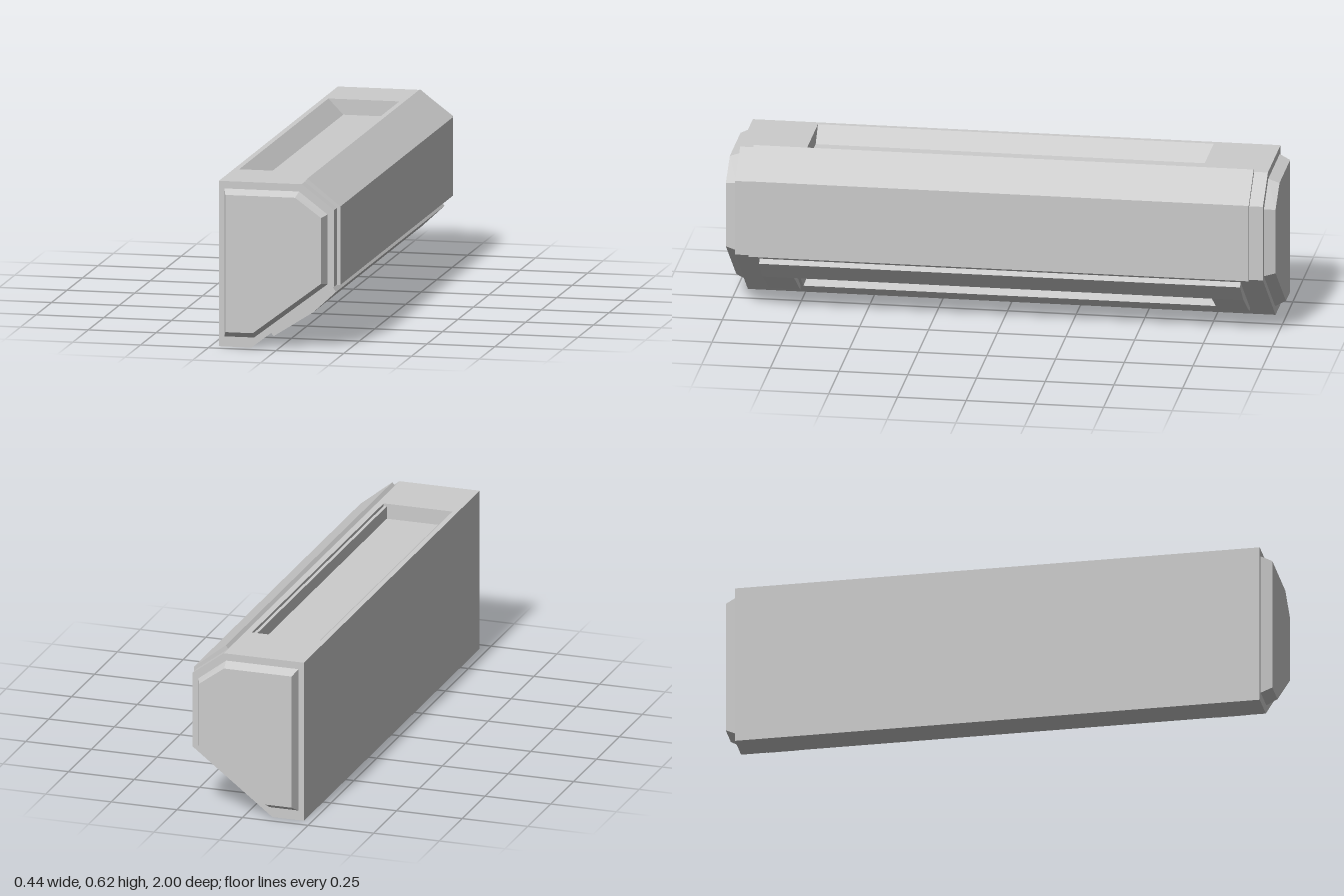
import * as THREE from 'three';

// Solid between two cross-sections (counter-clockwise in x,y) at depths zA < zB
function loft(ringA, zA, ringB, zB) {
  const pos = [];
  const put = (p, z) => pos.push(p[0], p[1], z);
  const n = ringA.length;
  for (let i = 0; i < n; i++) {
    const j = (i + 1) % n;
    put(ringA[i], zA); put(ringA[j], zA); put(ringB[j], zB);
    put(ringA[i], zA); put(ringB[j], zB); put(ringB[i], zB);
  }
  // the larger section gives the cap triangles for both ends
  const area = (r) => Math.abs(THREE.ShapeUtils.area(r.map((p) => new THREE.Vector2(...p))));
  const big = area(ringA) >= area(ringB) ? ringA : ringB;
  const tris = THREE.ShapeUtils.triangulateShape(big.map((p) => new THREE.Vector2(...p)), []);
  for (const [a, b, c] of tris) {
    put(ringA[c], zA); put(ringA[b], zA); put(ringA[a], zA);
    put(ringB[a], zB); put(ringB[b], zB); put(ringB[c], zB);
  }
  const g = new THREE.BufferGeometry();
  g.setAttribute('position', new THREE.Float32BufferAttribute(pos, 3));
  g.computeVertexNormals();
  return g;
}

export function createModel() {
  const model = new THREE.Group();
  const casing = new THREE.MeshStandardMaterial({ color: 0xcccccc });
  casing.name = 'casing grey';

  const add = (name, ringA, zA, ringB, zB) => {
    const mesh = new THREE.Mesh(loft(ringA, zA, ringB, zB), casing);
    mesh.name = name;
    model.add(mesh);
  };
  const prism = (name, ring, z0, z1) => add(name, ring, z0, ring, z1);

  // Casing cross-section with an intake notch on top and an outlet notch in the slope
  const outlet = [[-0.047, 0.041], [-0.1, 0.13], [0.05, 0.2], [0.09, 0.146]];
  const intake = [[0.062, 0.605], [0.062, 0.595], [0.05, 0.595], [0.05, 0.548], [-0.145, 0.548], [-0.2, 0.605]];
  const section = (low, high) => [
    [-0.22, 0], [-0.1, 0], ...low, [0.205, 0.235], [0.205, 0.515], [0.085, 0.605], ...high, [-0.22, 0.605],
  ];
  prism('casingMiddle', section(outlet, intake), -0.72, 0.72);
  for (const s of [-1, 1]) {
    const span = (a, b) => (s > 0 ? [a, b] : [-b, -a]);
    prism('casingShoulder', section(outlet, []), ...span(0.72, 0.75));
    prism('casingEnd', section([], []), ...span(0.75, 0.96));
  }

  // Slanted end walls of the outlet
  const ccw = [...outlet].reverse();
  const deep = [outlet[2], outlet[2], outlet[1], outlet[1]];
  add('outletEndWall', deep, 0.715, ccw, 0.75);
  add('outletEndWall', ccw, -0.75, deep, -0.715);

  // Bevelled end caps
  const capBase = [[-0.2, 0.037], [-0.09, 0.037], [0.181, 0.243], [0.181, 0.498], [0.076, 0.578], [-0.2, 0.578]];
  const capFace = [[-0.187, 0.06], [-0.086, 0.06], [0.166, 0.251], [0.166, 0.492], [0.07, 0.562], [-0.187, 0.562]];
  add('endCap', capBase, 0.96, capFace, 1);
  add('endCap', capFace, -1, capBase, -0.96);

  // Folded front panel
  prism('frontPanel', [
    [0.205, 0.233], [0.217, 0.233], [0.217, 0.52], [0.095, 0.617], [0.086, 0.605], [0.205, 0.514],
  ], -0.91, 0.91);

  // Outlet flap: full depth at both ends, upper strip only across the opening
  const flap = [[-0.047, 0.041], [-0.037, 0.029], [0.11, 0.123], [0.193, 0.2], [0.182, 0.216]];
  const strip = [[0.08, 0.139], [0.11, 0.123], [0.193, 0.2], [0.182, 0.216]];
  prism('flapStrip', strip, -0.76, 0.76);
  prism('flapEnd', flap, 0.76, 0.875);
  prism('flapEnd', flap, -0.875, -0.76);

  return model;
}
